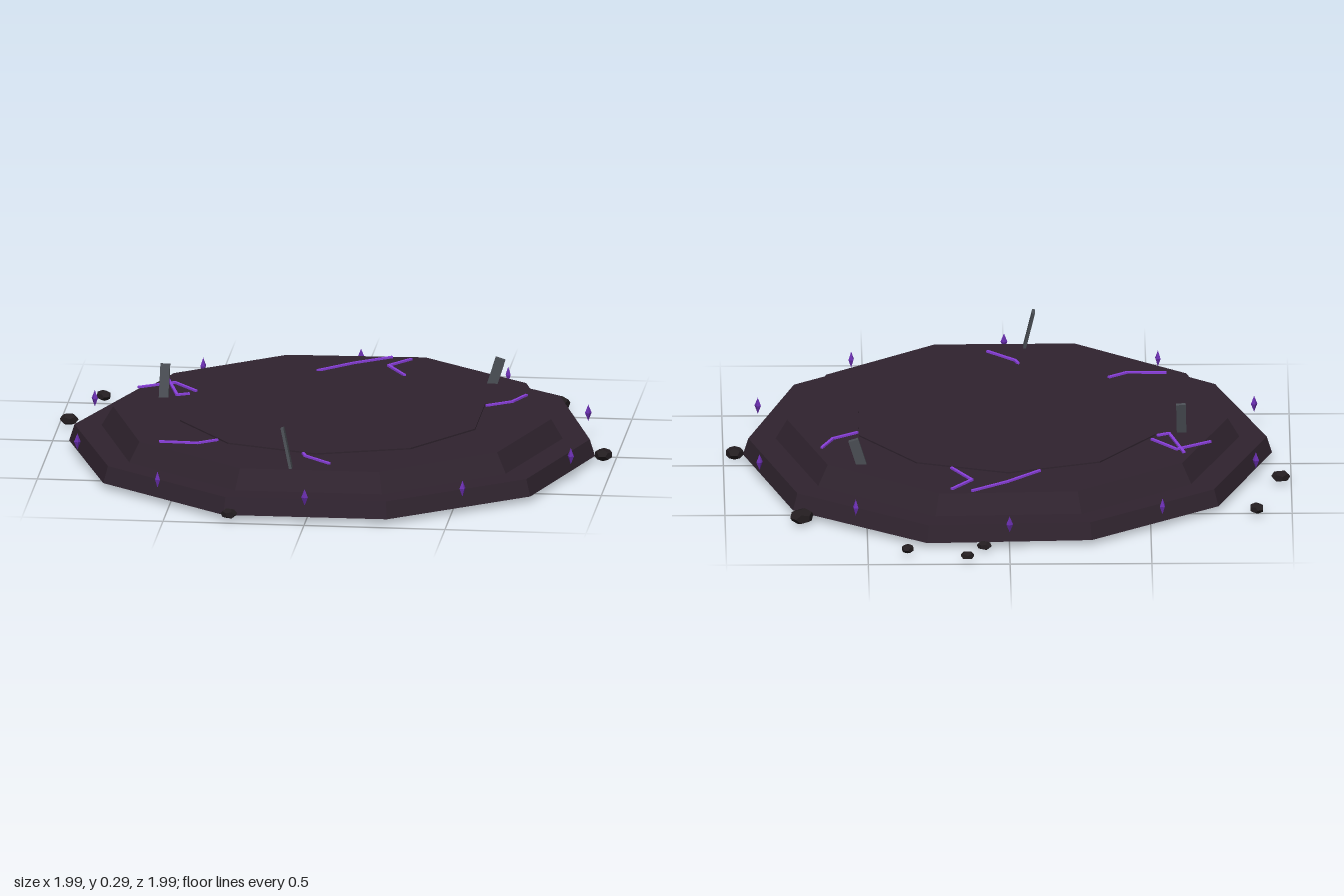
import * as THREE from 'three';

const mat = (name, color, flat = true) => {
  const m = new THREE.MeshStandardMaterial({ color, flatShading: flat });
  m.name = name;
  return m;
};

const CZ = 0.06; // centre of the platform along z

// Prism over an irregular outline [x, z], tapering towards the top
function slab(outline, y0, y1, taper) {
  const bottom = outline.map(([x, z]) => [x, y0, z]);
  const top = outline.map(([x, z]) => [x * taper, y1, CZ + (z - CZ) * taper]);
  const pos = [];
  const n = outline.length;
  for (let i = 0; i < n; i++) {
    const j = (i + 1) % n;
    pos.push(...bottom[j], ...bottom[i], ...top[i], ...bottom[j], ...top[i], ...top[j]);
    pos.push(0, y1, CZ, ...top[j], ...top[i]);
    pos.push(0, y0, CZ, ...bottom[i], ...bottom[j]);
  }
  const g = new THREE.BufferGeometry();
  g.setAttribute('position', new THREE.Float32BufferAttribute(pos, 3));
  g.computeVertexNormals();
  return g;
}

// Box stretched between two points
function bar(a, b, w, d, material) {
  const dir = b.clone().sub(a);
  const mesh = new THREE.Mesh(new THREE.BoxGeometry(w, dir.length(), d), material);
  mesh.position.copy(a).add(b).multiplyScalar(0.5);
  mesh.quaternion.setFromUnitVectors(new THREE.Vector3(0, 1, 0), dir.normalize());
  return mesh;
}

export function createModel() {
  const model = new THREE.Group();
  const stone = mat('darkPlumStone', 0x2f232e);
  const rock = mat('charcoalRock', 0x231d20);
  const slate = mat('slateGrey', 0x4a4e54);
  const glow = mat('violetGlow', 0x8a3fdc);
  const crystal = mat('purpleCrystal', 0x6a2fb0);
  const add = (name, geometry, material, parent = model) => {
    const mesh = new THREE.Mesh(geometry, material);
    mesh.name = name;
    parent.add(mesh);
    return mesh;
  };
  const group = (name) => {
    const g = new THREE.Group();
    g.name = name;
    model.add(g);
    return g;
  };

  // Stepped platform
  add('lowerTier', slab([
    [-0.29, -0.815], [0.29, -0.84], [0.76, -0.505], [0.93, 0.06], [0.76, 0.61],
    [0.29, 0.96], [-0.29, 0.965], [-0.755, 0.6], [-0.935, 0.06], [-0.74, -0.48],
  ], 0.03, 0.09, 0.98), stone);
  add('upperTier', slab([
    [-0.255, -0.71], [0.26, -0.73], [0.67, -0.42], [0.815, 0.06], [0.665, 0.535],
    [0.26, 0.85], [-0.26, 0.855], [-0.67, 0.535], [-0.82, 0.06], [-0.645, -0.415],
  ], 0.09, 0.16, 0.95), stone);
  add('centreDisc', new THREE.CylinderGeometry(0.55, 0.55, 0.01, 10), stone)
    .position.set(0, 0.16, CZ);

  // Glowing cracks on the top
  const cracks = group('cracks');
  [
    [[-0.11, -0.47], [0.005, -0.58], [0.13, -0.67]],
    [[0.2, -0.65], [0.13, -0.56], [0.2, -0.44]],
    [[-0.62, -0.29], [-0.57, -0.1], [-0.53, -0.12]],
    [[-0.715, -0.185], [-0.595, -0.26], [-0.51, -0.16]],
    [[0.655, -0.23], [0.615, -0.14], [0.53, -0.08]],
    [[-0.565, 0.51], [-0.43, 0.515], [-0.365, 0.467]],
    [[-0.045, 0.61], [-0.035, 0.64], [0.06, 0.73]],
  ].forEach((path) => {
    for (let i = 0; i < path.length - 1; i++) {
      const [[ax, az], [bx, bz]] = [path[i], path[i + 1]];
      const len = Math.hypot(bx - ax, bz - az);
      const seg = add('crack', new THREE.BoxGeometry(len + 0.005, 0.007, 0.01), glow, cracks);
      seg.position.set((ax + bx) / 2, 0.1635, (az + bz) / 2);
      seg.rotation.y = -Math.atan2(bz - az, bx - ax);
    }
  });

  // Leaning stone slivers
  const slivers = group('slivers');
  [
    [[-0.615, 0.15, -0.075], [-0.612, 0.275, -0.107], 0.034, 0.012],
    [[-0.068, 0.15, 0.787], [-0.102, 0.3, 0.765], 0.01, 0.035],
    [[0.515, 0.15, -0.385], [0.546, 0.25, -0.387], 0.036, 0.018],
  ].forEach(([a, b, w, d]) => {
    const s = bar(new THREE.Vector3(...a), new THREE.Vector3(...b), w, d, slate);
    s.name = 'sliver';
    slivers.add(s);
  });

  // Ring of floating crystals
  const crystals = group('crystals');
  const gem = new THREE.OctahedronGeometry(1);
  for (let i = 0; i < 10; i++) {
    const a = (i / 10) * Math.PI * 2;
    const c = add('crystal', gem, crystal, crystals);
    c.position.set(Math.sin(a) * 0.92, 0.107, CZ + Math.cos(a) * 0.92);
    c.scale.set(0.012, 0.03, 0.012);
    c.rotation.y = a;
  }

  // Scattered rubble around the rim
  const rubble = group('rubble');
  const lump = new THREE.DodecahedronGeometry(1);
  [
    [0.15, -0.98, 0.025], [0.36, -0.91, 0.025], [0.09, -0.88, 0.027], [0.73, -0.58, 0.045],
    [-0.875, -0.515, 0.03], [-0.963, -0.195, 0.034], [0.96, 0.06, 0.036], [-0.27, 0.965, 0.03],
  ].forEach(([x, z, r], i) => {
    const s = add('rock', lump, rock, rubble);
    s.position.set(x, 0.036, z);
    s.scale.set(r, r * 0.62, r * 0.92);
    s.rotation.y = i * 1.3;
  });

  return model;
}
